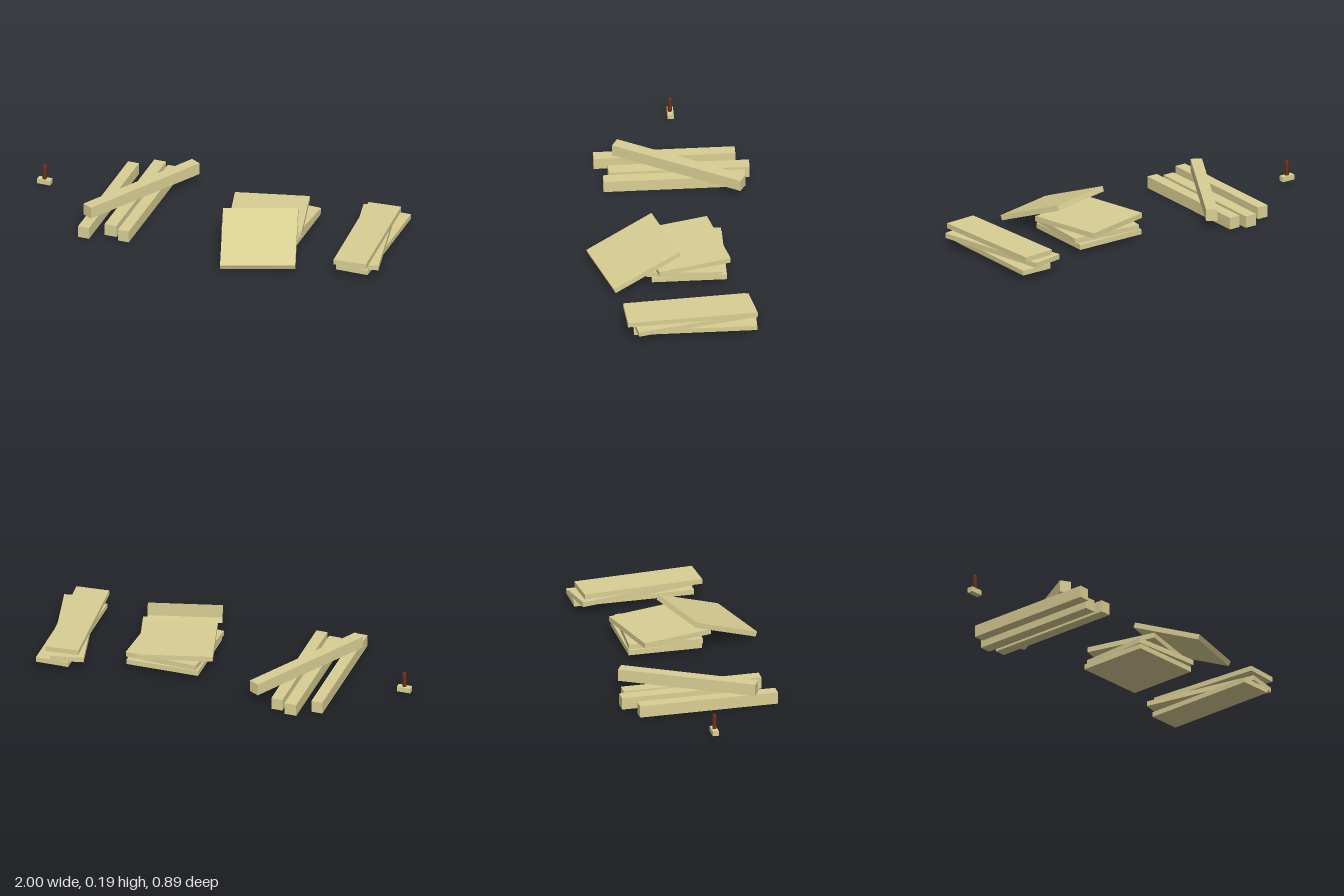
import * as THREE from 'three';

const wood = new THREE.MeshStandardMaterial({ color: 0xd9cf94, flatShading: true });
const darkWood = new THREE.MeshStandardMaterial({ color: 0x6a3218, flatShading: true });

// A wooden block: size, centre and turn about the vertical
function block(name, [w, h, d], [x, y, z], turn = 0) {
  const mesh = new THREE.Mesh(new THREE.BoxGeometry(w, h, d), wood);
  mesh.name = name;
  mesh.position.set(x, y, z);
  mesh.rotation.y = turn;
  return mesh;
}

function group(name, ...parts) {
  const g = new THREE.Group();
  g.name = name;
  g.add(...parts);
  return g;
}

export function createModel() {
  // Three parallel beams with a fourth lying across them
  const beam = [0.06, 0.064, 0.736];
  const beams = group('beams',
    block('beamOuter', beam, [-0.588, 0.032, -0.016]),
    block('beamMiddle', [0.065, 0.064, 0.733], [-0.465, 0.032, -0.083]),
    block('beamInner', beam, [-0.382, 0.032, -0.053]),
    block('beamAcross', beam, [-0.43, 0.096, -0.081], -0.511));

  // Stack of square panels, each turned a little
  const panel = [0.39, 0.028, 0.39];
  const panels = group('panels',
    block('panelBottom', panel, [0.296, 0.041, -0.071]),
    block('panelMiddle', panel, [0.298, 0.069, -0.056], -0.06),
    block('panelTop', panel, [0.282, 0.097, -0.053], 0.25));

  // Panel leaning on the stack, oriented by its own edges
  const leaning = block('panelLeaning', panel, [0.33, 0.102, 0.208]);
  const across = new THREE.Vector3(0.3745, 0.012, -0.118).normalize();
  const up = new THREE.Vector3(0.112, -0.136, 0.345).cross(across).normalize();
  const down = across.clone().cross(up);
  leaning.quaternion.setFromRotationMatrix(new THREE.Matrix4().makeBasis(across, up, down));
  panels.add(leaning);

  // Stack of narrow planks
  const plank = [0.176, 0.027, 0.64];
  const planks = group('planks',
    block('plankBottom', plank, [0.857, 0.0395, -0.071]),
    block('plankMiddle', plank, [0.845, 0.0665, -0.068], 0.207),
    block('plankTop', plank, [0.838, 0.0935, -0.032], 0.071));

  // Small mallet standing on its head
  const handle = new THREE.Mesh(new THREE.CylinderGeometry(0.0115, 0.0115, 0.076, 6), darkWood);
  handle.name = 'malletHandle';
  handle.position.set(-0.963, 0.092, -0.0725);
  const handleEnd = new THREE.Mesh(new THREE.CylinderGeometry(0.008, 0.0115, 0.007, 6), darkWood);
  handleEnd.name = 'malletHandleEnd';
  handleEnd.position.set(-0.963, 0.1335, -0.0725);
  const mallet = group('mallet',
    block('malletHead', [0.073, 0.027, 0.032], [-0.9635, 0.0425, -0.0745]), handle, handleEnd);

  return group('buildingMaterials', beams, panels, planks, mallet);
}
